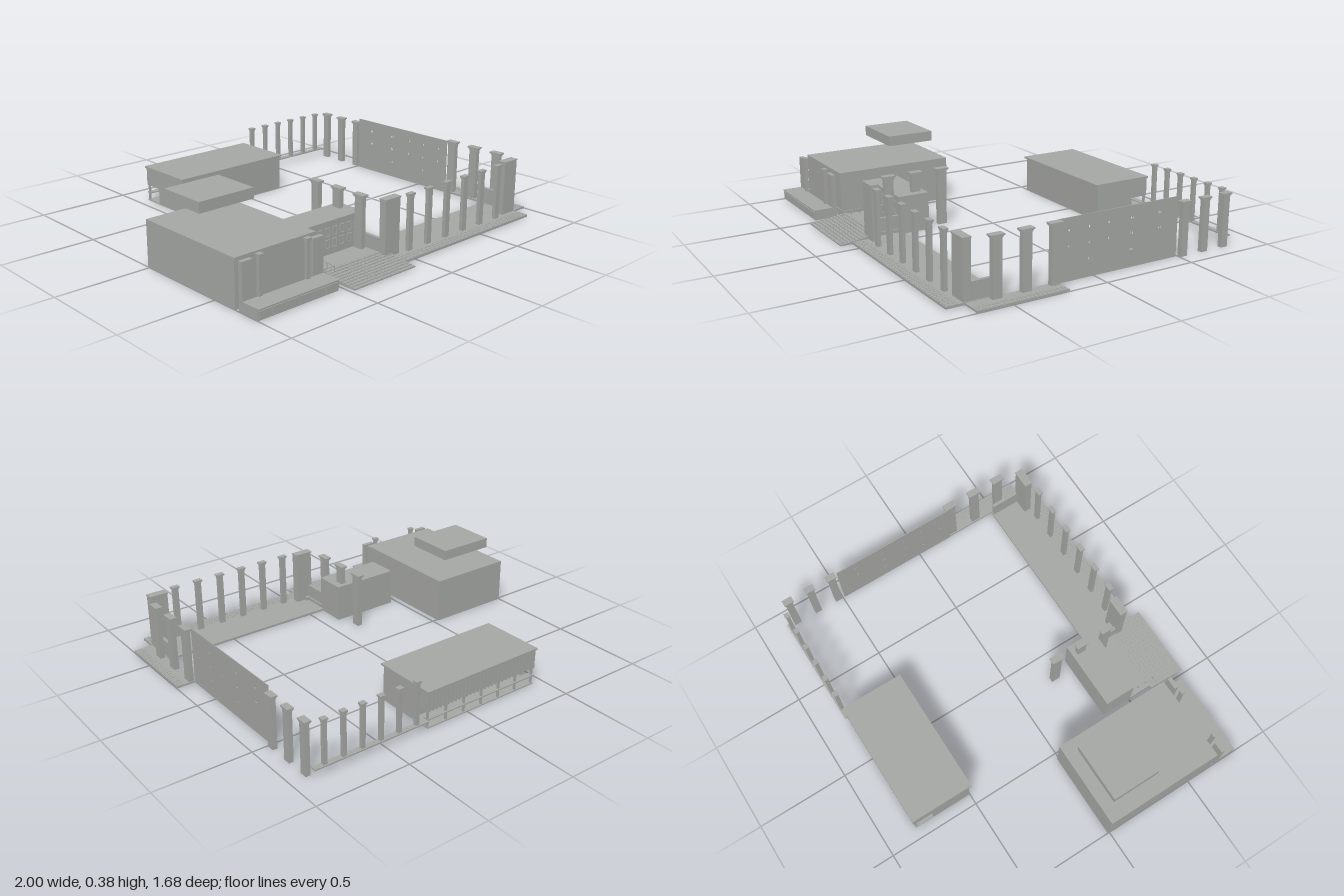
import * as THREE from 'three';
import { mergeGeometries } from 'three/addons/utils/BufferGeometryUtils.js';

const stone = new THREE.MeshStandardMaterial({ color: 0xa6a8a5 });
stone.name = 'stone grey';
const sheet = new THREE.MeshStandardMaterial({ color: 0xa6a8a5, side: THREE.DoubleSide });
sheet.name = 'stone grey sheet';

// Box geometry given by its limits on each axis
function block(x0, x1, y0, y1, z0, z1) {
  return new THREE.BoxGeometry(x1 - x0, y1 - y0, z1 - z0)
    .translate((x0 + x1) / 2, (y0 + y1) / 2, (z0 + z1) / 2);
}

export function createModel() {
  const model = new THREE.Group();
  const add = (name, parts, material = stone) => {
    const mesh = new THREE.Mesh(Array.isArray(parts) ? mergeGeometries(parts) : parts, material);
    mesh.name = name;
    model.add(mesh);
    return mesh;
  };

  // Column: plinth, shaft with side ribs and a three-step capital
  function column(name, x, z, w, d, y0, y1) {
    const tier = (k, a, b) => block(x - w * k / 2, x + w * k / 2, a, b, z - d * k / 2, z + d * k / 2);
    const parts = [
      tier(0.62, y0, y1 - 0.012),
      tier(0.74, y1 - 0.02, y1 - 0.014),
      tier(0.86, y1 - 0.014, y1 - 0.008),
      tier(1, y1 - 0.008, y1),
    ];
    for (const s of [-1, 1]) {
      const cx = x + s * w * 0.27, cz = z + s * d * 0.27;
      parts.push(block(cx - w * 0.07, cx + w * 0.07, y0, y1 - 0.02, z - d * 0.35, z + d * 0.35));
      parts.push(block(x - w * 0.35, x + w * 0.35, y0, y1 - 0.02, cz - d * 0.07, cz + d * 0.07));
    }
    add(name, parts);
  }

  // Main hall with its raised roof slab
  add('mainHall', block(-1, -0.53, 0, 0.24, -0.01, 0.64));
  add('raisedRoof', block(-0.925, -0.61, 0.33, 0.385, 0.04, 0.305));

  // Low base in front of the main hall, with thin front panels
  add('frontBase', block(-1, -0.53, 0, 0.05, 0.69, 0.79));
  add('baseCoping', block(-1, -0.53, 0.05, 0.055, 0.69, 0.795));
  const panels = [];
  for (let i = 0; i < 6; i++) {
    const x = -0.995 + i * 0.077;
    panels.push(block(x, x + 0.072, 0.006, 0.044, 0.79, 0.794));
  }
  add('basePanels', panels);
  for (const x of [-0.903, -0.627]) column('hallColumn', x, 0.69, 0.03, 0.026, 0, 0.25);
  add('hallScreens', [
    block(-1, -0.94, 0, 0.235, 0.667, 0.69),
    block(-0.595, -0.53, 0, 0.235, 0.667, 0.69),
  ]);

  // Gate house with two rows of framed windows
  add('gateHouse', block(-0.465, -0.09, 0, 0.2, 0.335, 0.505));
  const frames = [];
  for (let i = 0; i < 7; i++) for (const y of [0.085, 0.145]) {
    const x = -0.425 + i * 0.048;
    frames.push(block(x - 0.016, x - 0.011, y - 0.018, y + 0.018, 0.505, 0.511));
    frames.push(block(x + 0.011, x + 0.016, y - 0.018, y + 0.018, 0.505, 0.511));
    frames.push(block(x - 0.016, x + 0.016, y + 0.018, y + 0.023, 0.505, 0.511));
    frames.push(block(x - 0.016, x + 0.016, y - 0.023, y - 0.018, 0.505, 0.511));
  }
  add('windowFrames', frames);

  // Entrance platform, stepping down to the front, paved with tiles
  add('entrancePlatform', block(-0.465, -0.09, 0, 0.03, 0.505, 0.65));
  const steps = [], stepTiles = [];
  for (let i = 0; i < 10; i++) {
    const z = 0.63 + i * 0.021, y = 0.03 - i * 0.0027;
    steps.push(block(-0.48, -0.075, 0, y, z, z + 0.021));
    for (let j = 0; j < 18; j++) {
      const x = -0.479 + j * 0.0225;
      stepTiles.push(block(x, x + 0.02, y, y + 0.0015, z + 0.002, z + 0.019));
    }
  }
  add('entranceSteps', steps);
  add('stepTiles', stepTiles);

  // Thin handrail beside the entrance
  const rail = [
    block(-0.53, -0.44, 0.055, 0.058, 0.667, 0.671),
    block(-0.442, -0.438, 0.055, 0.058, 0.57, 0.671),
  ];
  for (const [x, z] of [[-0.5, 0.669], [-0.44, 0.669], [-0.44, 0.62], [-0.44, 0.572]])
    rail.push(block(x - 0.002, x + 0.002, 0, 0.06, z - 0.002, z + 0.002));
  add('handrail', rail);

  // Terraces with tiled outer strips
  add('frontTerrace', block(-0.09, 0.895, 0, 0.012, 0.485, 0.775));
  add('sideTerrace', block(0.895, 0.997, 0, 0.01, 0.205, 0.68));
  const tiles = [];
  for (let i = 0; i < 44; i++) for (let j = 0; j < 3; j++) {
    const x = -0.072 + i * 0.022, z = 0.711 + j * 0.021;
    tiles.push(block(x, x + 0.019, 0.012, 0.0135, z, z + 0.018));
  }
  for (let i = 0; i < 21; i++) for (let j = 0; j < 2; j++) {
    const z = 0.21 + i * 0.022, x = 0.95 + j * 0.022;
    tiles.push(block(x, x + 0.019, 0.01, 0.0115, z, z + 0.019));
  }
  add('pavingTiles', tiles);

  // Broad end piers and the low wing walls behind them
  for (const x of [-0.125, 0.79]) {
    add('endPier', [
      block(x + 0.003, x + 0.102, 0, 0.298, 0.648, 0.687),
      block(x, x + 0.105, 0.298, 0.305, 0.645, 0.69),
    ]);
  }
  for (const x of [-0.117, 0.873]) add('wingWall', block(x, x + 0.018, 0, 0.1, 0.49, 0.645));

  // Colonnades along the front and both sides
  for (let i = 0; i < 6; i++) column('frontColumn', 0.046 + i * 0.1362, 0.69, 0.045, 0.028, 0, 0.305);
  for (const x of [-0.143, 0.915]) for (const z of [0.232, 0.385, 0.538])
    column('sideColumn', x, z, 0.038, 0.07, 0, 0.305);
  for (const z of [-0.785, -0.655, -0.525]) column('rearSideColumn', 0.905, z, 0.036, 0.056, 0, 0.28);

  // Thin side wall pierced by small openings
  const wall = new THREE.Shape([[-0.205, 0], [0.49, 0], [0.49, 0.305], [-0.205, 0.305]]
    .map(([u, v]) => new THREE.Vector2(u, v)));
  const openings = [];
  for (const y of [0.17, 0.245])
    for (const u of [-0.143, -0.03, 0.08, 0.209, 0.22, 0.375, 0.386]) openings.push([u, y]);
  openings.push([-0.03, 0.09], [0.209, 0.09], [0.22, 0.09]);
  for (const [u, v] of openings) {
    const hole = new THREE.Path();
    hole.absellipse(u, v, 0.0045, 0.007, 0, Math.PI * 2, true);
    wall.holes.push(hole);
  }
  const wallGeometry = new THREE.ExtrudeGeometry(wall, { depth: 0.004, bevelEnabled: false, curveSegments: 4 });
  const sideWall = add('piercedWall', wallGeometry, sheet);
  sideWall.rotation.y = Math.PI / 2;
  sideWall.position.x = 0.893;

  // Rear hall: closed body, roof and an overhanging upper gallery
  add('rearHall', block(-0.44, 0.25, 0, 0.19, -0.72, -0.5));
  add('rearRoof', block(-0.45, 0.257, 0.19, 0.2, -0.835, -0.488));
  add('rearFloor', block(-0.44, 0.25, 0, 0.006, -0.83, -0.72));
  add('rearGallery', block(-0.44, 0.25, 0.09, 0.19, -0.82, -0.72));
  const slats = [];
  for (let i = 0; i < 30; i++) {
    const x = -0.44 + i * 0.0234;
    slats.push(block(x, x + 0.011, 0.09, 0.19, -0.833, -0.82));
  }
  add('gallerySlats', slats);
  const posts = [];
  for (let i = 0; i < 7; i++) {
    const x = -0.438 + i * 0.113;
    posts.push(block(x, x + 0.01, 0, 0.09, -0.825, -0.815));
  }
  add('galleryPosts', posts);
  add('galleryCounter', block(-0.44, 0.25, 0.045, 0.051, -0.832, -0.8));

  // Rear colonnade standing on a thin beam
  add('rearBeam', block(0.255, 0.895, 0.043, 0.05, -0.845, -0.815));
  for (let i = 0; i < 6; i++) column('rearColumn', 0.318 + i * 0.1034, -0.828, 0.03, 0.028, 0.05, 0.282);

  return model;
}
